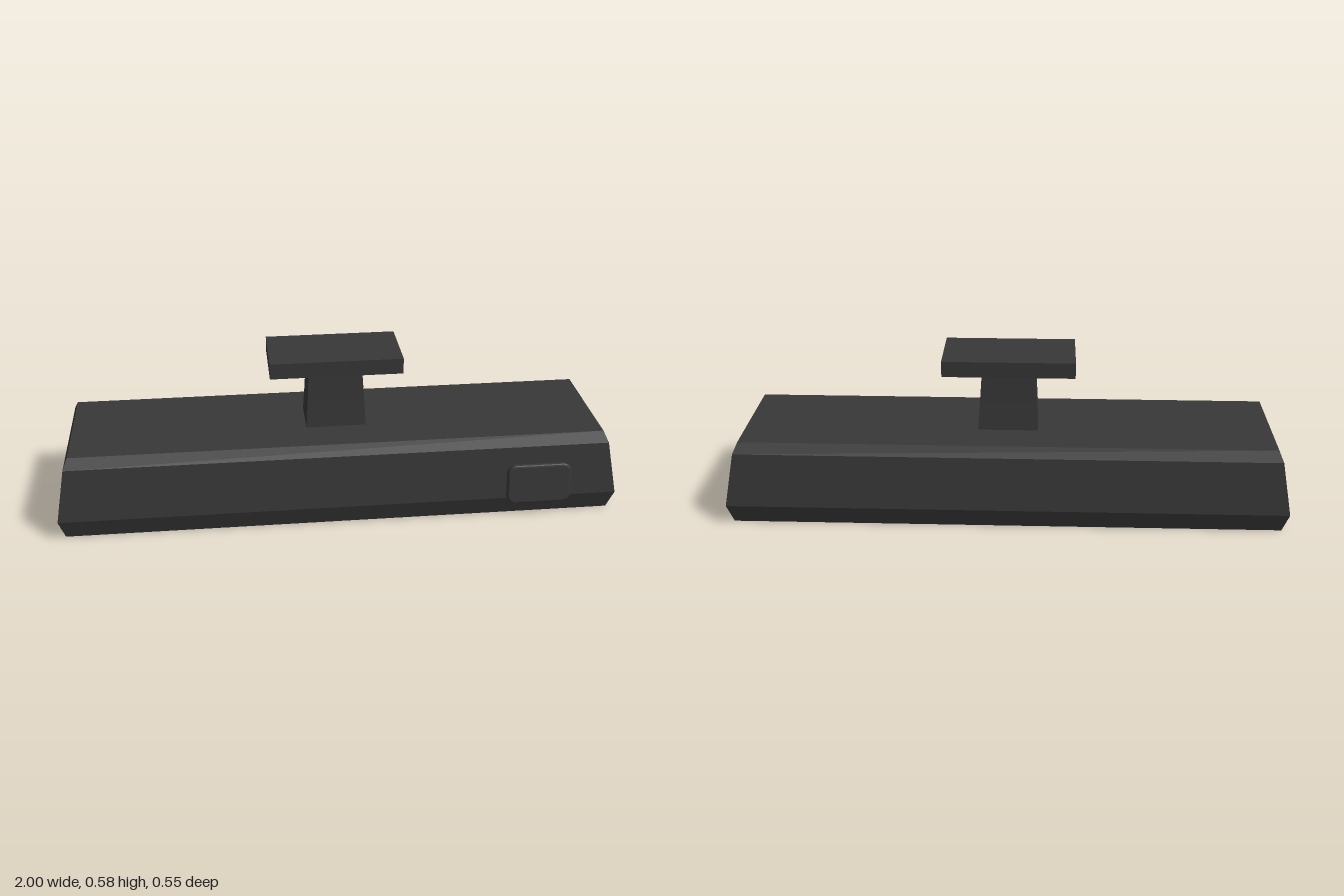
import * as THREE from 'three';

const bodyDark = new THREE.MeshStandardMaterial({ color: 0x383838 });
bodyDark.name = 'charcoal';
const panelGrey = new THREE.MeshStandardMaterial({ color: 0xb2b2b2 });
panelGrey.name = 'light grey';

// Stacked rectangles [y, xMin, xMax, zMin, zMax], listed upwards and joined with flat faces
function loft(levels) {
  const pos = [];
  const ring = ([y, x0, x1, z0, z1]) => [[x0, y, z1], [x1, y, z1], [x1, y, z0], [x0, y, z0]];
  const quad = (a, b, c, d) => pos.push(...a, ...b, ...c, ...a, ...c, ...d);
  for (let i = 0; i < levels.length - 1; i++) {
    const lo = ring(levels[i]), hi = ring(levels[i + 1]);
    for (let k = 0; k < 4; k++) {
      const n = (k + 1) % 4;
      quad(lo[k], lo[n], hi[n], hi[k]);
    }
  }
  quad(...ring(levels[levels.length - 1])); // top cap
  const g = new THREE.BufferGeometry();
  g.setAttribute('position', new THREE.Float32BufferAttribute(pos, 3));
  g.computeVertexNormals();
  return g;
}

function rectPath(path, x0, x1, y0, y1) {
  path.moveTo(x0, y0);
  path.lineTo(x1, y0);
  path.lineTo(x1, y1);
  path.lineTo(x0, y1);
  path.closePath();
  return path;
}

function roundedRect(w, h, r) {
  const s = new THREE.Shape();
  const x = w / 2 - r, y = h / 2 - r;
  s.absarc(x, y, r, 0, Math.PI / 2);
  s.absarc(-x, y, r, Math.PI / 2, Math.PI);
  s.absarc(-x, -y, r, Math.PI, Math.PI * 1.5);
  s.absarc(x, -y, r, Math.PI * 1.5, Math.PI * 2);
  s.closePath();
  return s;
}

export function createModel() {
  const group = new THREE.Group();
  const add = (name, geometry, material) => {
    const mesh = new THREE.Mesh(geometry, material);
    mesh.name = name;
    group.add(mesh);
    return mesh;
  };

  // Long housing with chamfered top and undercut base
  add('housing', loft([
    [0, -0.98, 0.98, -0.25, 0.24],
    [0.072, -1, 1, -0.273, 0.262],
    [0.265, -0.965, 0.965, -0.247, 0.238],
    [0.3, -0.95, 0.95, -0.22, 0.21],
  ]), bodyDark);

  // Underside rim around the recessed panel
  const rim = rectPath(new THREE.Shape(), -0.98, 0.98, -0.25, 0.24);
  rim.holes.push(rectPath(new THREE.Path(), -0.905, 0.905, -0.18, 0.17));
  const rimGeometry = new THREE.ExtrudeGeometry(rim, { depth: 0.015, bevelEnabled: false });
  rimGeometry.rotateX(Math.PI / 2).translate(0, 0.015, 0);
  add('undersideRim', rimGeometry, bodyDark);

  const panel = add('undersidePanel', new THREE.BoxGeometry(1.83, 0.008, 0.37), panelGrey);
  panel.position.set(0, 0.016, -0.005);

  // Tapered neck and ceiling plate
  add('neck', loft([
    [0.295, -0.11, 0.107, -0.084, 0.073],
    [0.4, -0.104, 0.1, -0.072, 0.065],
    [0.525, -0.098, 0.092, -0.063, 0.057],
  ]), bodyDark);
  const plate = add('mountPlate', new THREE.BoxGeometry(0.47, 0.057, 0.243), bodyDark);
  plate.position.set(-0.004, 0.5485, -0.0035);

  // Rounded button lying on the sloping front
  const bevel = 0.008;
  const buttonGeometry = new THREE.ExtrudeGeometry(roundedRect(0.234 - 2 * bevel, 0.148 - 2 * bevel, 0.025), {
    depth: 0.018, bevelThickness: bevel, bevelSize: bevel, bevelSegments: 3, curveSegments: 6,
  });
  buttonGeometry.translate(0, 0, -0.009);
  const button = add('frontButton', buttonGeometry, bodyDark);
  button.position.set(0.713, 0.126, 0.254);
  button.rotation.x = -0.122;

  return group;
}
